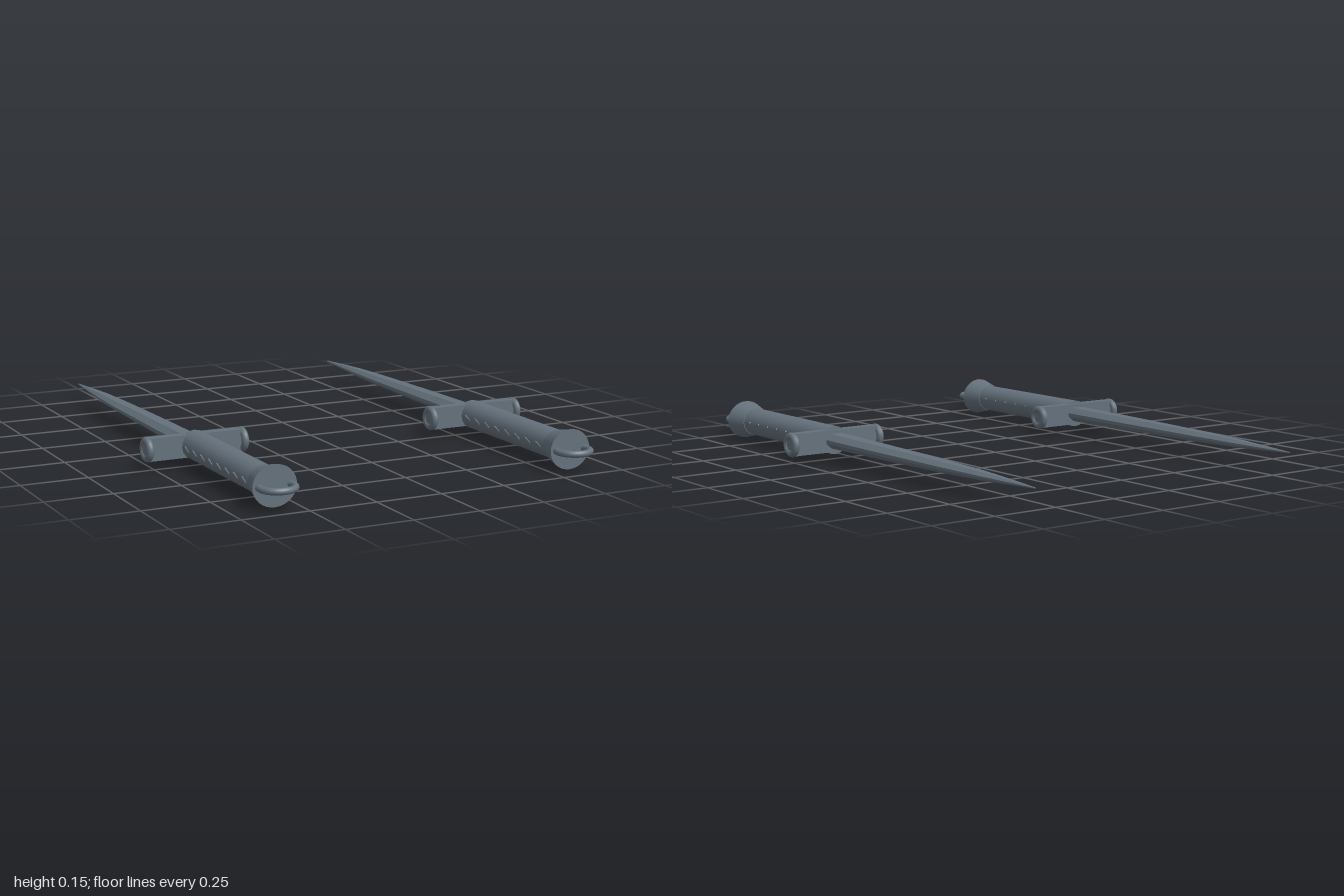
import * as THREE from 'three';

const steel = new THREE.MeshStandardMaterial({ color: 0x65717c });
steel.name = 'slate steel';

function part(parent, name, geometry, x = 0, y = 0, z = 0) {
  const mesh = new THREE.Mesh(geometry, steel);
  mesh.name = name;
  mesh.position.set(x, y, z);
  parent.add(mesh);
  return mesh;
}

// Faceted tapering blade: an eight-sided section swept through [z, halfWidth, halfHeight]
function bladeGeometry() {
  const stations = [
    [0.24, 0.047, 0.028], [-0.04, 0.046, 0.025], [-0.3, 0.041, 0.022], [-0.5, 0.037, 0.019],
    [-0.7, 0.028, 0.015], [-0.85, 0.016, 0.009], [-1, 0.003, 0.002],
  ];
  const section = [[1, 0.25], [0.5, 1], [-0.5, 1], [-1, 0.25], [-1, -0.25], [-0.5, -1], [0.5, -1], [1, -0.25]];
  const n = section.length;
  const positions = [];
  const index = [];
  for (const [z, w, h] of stations) for (const [x, y] of section) positions.push(x * w, y * h, z);
  for (let s = 0; s < stations.length - 1; s++) {
    for (let i = 0; i < n; i++) {
      const a = s * n + i, b = s * n + (i + 1) % n;
      index.push(a, b, a + n, b, b + n, a + n);
    }
  }
  // Close the root and the tip
  const last = (stations.length - 1) * n;
  for (let i = 1; i < n - 1; i++) {
    index.push(0, i, i + 1);
    index.push(last, last + i + 1, last + i);
  }
  const indexed = new THREE.BufferGeometry();
  indexed.setAttribute('position', new THREE.Float32BufferAttribute(positions, 3));
  indexed.setIndex(index);
  // Each side strip wound outward, every facet with its own normal
  const geometry = indexed.toNonIndexed();
  const p = geometry.getAttribute('position');
  const v = [0, 1, 2].map(() => new THREE.Vector3());
  const normal = new THREE.Vector3();
  for (let t = 0; t < p.count - 2; t += 3) {
    v.forEach((q, k) => q.fromBufferAttribute(p, t + k));
    normal.subVectors(v[1], v[0]).cross(v[2].clone().sub(v[0]));
    const centre = v[0].clone().add(v[1]).add(v[2]).divideScalar(3);
    centre.z += 0.38;
    if (normal.dot(centre) < 0) {
      p.setXYZ(t + 1, v[2].x, v[2].y, v[2].z);
      p.setXYZ(t + 2, v[1].x, v[1].y, v[1].z);
    }
  }
  geometry.computeVertexNormals();
  return geometry;
}

function createDagger() {
  const dagger = new THREE.Group();
  part(dagger, 'blade', bladeGeometry());

  // Oval grip and flared pommel, both along z
  const grip = new THREE.CylinderGeometry(0.058, 0.058, 0.6, 16).rotateX(Math.PI / 2).scale(1, 0.92, 1);
  part(dagger, 'grip', grip, 0, 0, 0.53);
  const pommel = new THREE.CylinderGeometry(0.082, 0.06, 0.085, 32).rotateX(Math.PI / 2).scale(1, 0.9, 1);
  part(dagger, 'pommel', pommel, 0, 0, 0.865);

  // Ring lying flat in the end of the pommel
  const ring = new THREE.TorusGeometry(0.062, 0.0125, 10, 32).rotateX(Math.PI / 2);
  part(dagger, 'pommelRing', ring, 0, 0, 0.925);

  // Crossguard with rolled rim and recessed disc at each end
  part(dagger, 'crossguard', new THREE.BoxGeometry(0.375, 0.084, 0.038), 0, 0, 0.235);
  for (const side of [-1, 1]) {
    const rim = new THREE.TorusGeometry(0.033, 0.014, 10, 28).rotateY(Math.PI / 2);
    part(dagger, 'guardRim', rim, side * 0.186, 0, 0.235);
    const disc = new THREE.CylinderGeometry(0.034, 0.034, 0.016, 28).rotateZ(Math.PI / 2);
    part(dagger, 'guardDisc', disc, side * 0.186, 0, 0.235);

    // Slanted stitches down each side of the grip
    for (let i = 0; i < 8; i++) {
      const stitch = part(dagger, 'gripStitch', new THREE.BoxGeometry(0.008, 0.006, 0.036),
        side * 0.058, 0, 0.3 + i * 0.07);
      stitch.rotation.x = 0.35;
    }
  }
  return dagger;
}

export function createModel() {
  const model = new THREE.Group();
  model.name = 'daggerPair';
  for (const side of [-1, 1]) {
    const dagger = createDagger();
    dagger.name = side < 0 ? 'rightDagger' : 'leftDagger';
    dagger.position.set(side * 0.585, 0.075, 0);
    model.add(dagger);
  }
  return model;
}
